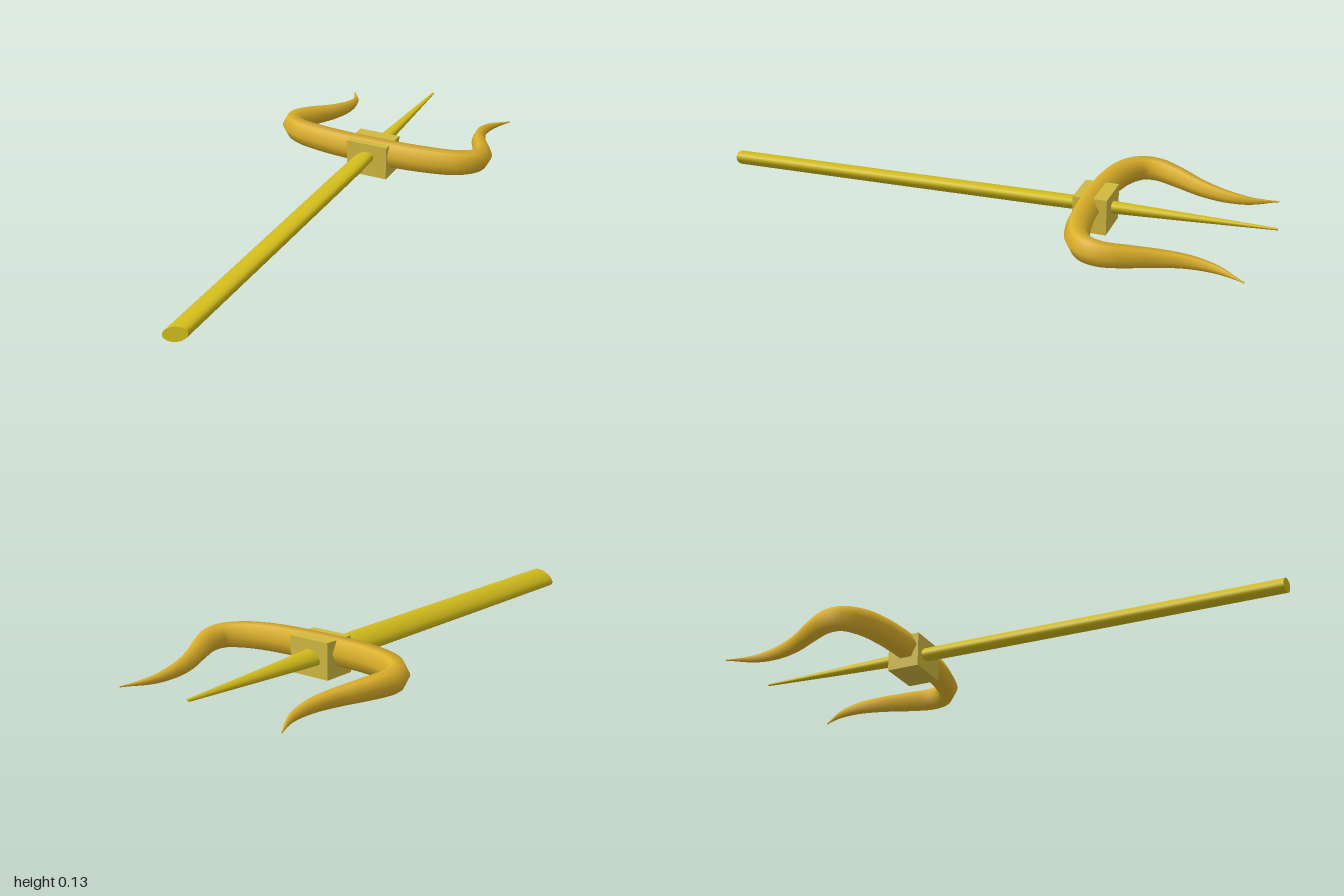
import * as THREE from 'three';

const UP = new THREE.Vector3(0, 1, 0);

// Closed skin over a list of rings (rings run right -> up around the travel direction)
function loft(rings) {
  const n = rings[0].length, pos = [], idx = [];
  const push = p => pos.push(p.x, p.y, p.z);
  rings.forEach(r => r.forEach(push));
  for (let i = 0; i < rings.length - 1; i++) {
    for (let j = 0; j < n; j++) {
      const k = (j + 1) % n;
      const a = i * n + j, b = i * n + k, c = a + n, d = b + n;
      idx.push(a, c, b, b, c, d);
    }
  }
  // Flat caps with their own vertices keep the end edges sharp
  [[rings[0], false], [rings[rings.length - 1], true]].forEach(([ring, flip]) => {
    const base = pos.length / 3;
    ring.forEach(push);
    for (let j = 1; j < n - 1; j++) {
      if (flip) idx.push(base, base + j + 1, base + j);
      else idx.push(base, base + j, base + j + 1);
    }
  });
  const g = new THREE.BufferGeometry();
  g.setAttribute('position', new THREE.Float32BufferAttribute(pos, 3));
  g.setIndex(idx);
  g.computeVertexNormals();
  return g;
}

// Elliptical ring: half-sizes a and b along the right and up axes
function ring(center, right, up, a, b, sides) {
  return Array.from({ length: sides }, (_, j) => {
    const t = (j / sides) * Math.PI * 2;
    return center.clone()
      .addScaledVector(right, a * Math.cos(t))
      .addScaledVector(up, b * Math.sin(t));
  });
}

function addPart(group, name, geometry, color) {
  const mesh = new THREE.Mesh(geometry, new THREE.MeshStandardMaterial({ color }));
  mesh.name = name;
  group.add(mesh);
  return mesh;
}

export function createModel() {
  const group = new THREE.Group();
  group.name = 'trident';

  // Tilted oval shaft, tapering through the block into the middle spike: z, y, half-width, half-height
  const tilt = 0.43;
  const right = new THREE.Vector3(Math.cos(tilt), Math.sin(tilt), 0);
  const up = new THREE.Vector3(-Math.sin(tilt), Math.cos(tilt), 0);
  const shaft = [
    [1, 0.061, 0.05, 0.025],
    [0.4, 0.063, 0.05, 0.025],
    [-0.19, 0.066, 0.05, 0.025],
    [-0.38, 0.067, 0.04, 0.024],
    [-0.7, 0.068, 0.022, 0.014],
    [-1, 0.07, 0.006, 0.004],
  ].map(([z, y, a, b]) => ring(new THREE.Vector3(-0.01, y, z), right, up, a, b, 32));
  addPart(group, 'shaftAndMiddleSpike', loft(shaft), 0xd2bc1c);

  // Block joining the shaft and the side prongs
  const block = addPart(group, 'block', new THREE.BoxGeometry(0.159, 0.127, 0.12), 0xd0b840);
  block.position.set(0.0025, 0.0635, -0.38);

  // Curved side prongs, one half: x, y, z, radius
  const half = [
    [0.1, 0.083, -0.371, 0.049],
    [0.22, 0.083, -0.383, 0.048],
    [0.32, 0.081, -0.41, 0.046],
    [0.375, 0.079, -0.455, 0.043],
    [0.385, 0.075, -0.51, 0.041],
    [0.355, 0.067, -0.59, 0.037],
    [0.312, 0.056, -0.68, 0.03],
    [0.288, 0.047, -0.77, 0.023],
    [0.294, 0.038, -0.86, 0.014],
    [0.342, 0.03, -0.956, 0.002],
  ];
  const all = [
    ...half.map(([x, ...rest]) => [-x, ...rest]).reverse(),
    [0, 0.083, -0.37, 0.049],
    ...half,
  ];
  const path = new THREE.CatmullRomCurve3(all.map(([x, y, z]) => new THREE.Vector3(x, y, z)));
  const radius = new THREE.SplineCurve(all.map((p, i) => new THREE.Vector2(i, p[3])));
  const steps = 80, rings = [];
  for (let i = 0; i <= steps; i++) {
    const u = i / steps, r = radius.getPoint(u).y;
    const side = path.getTangent(u).cross(UP).normalize();
    rings.push(ring(path.getPoint(u), side, UP, r * 0.9, r * 1.04, 6));
  }
  addPart(group, 'sideProngs', loft(rings), 0xdcb02a);

  return group;
}
